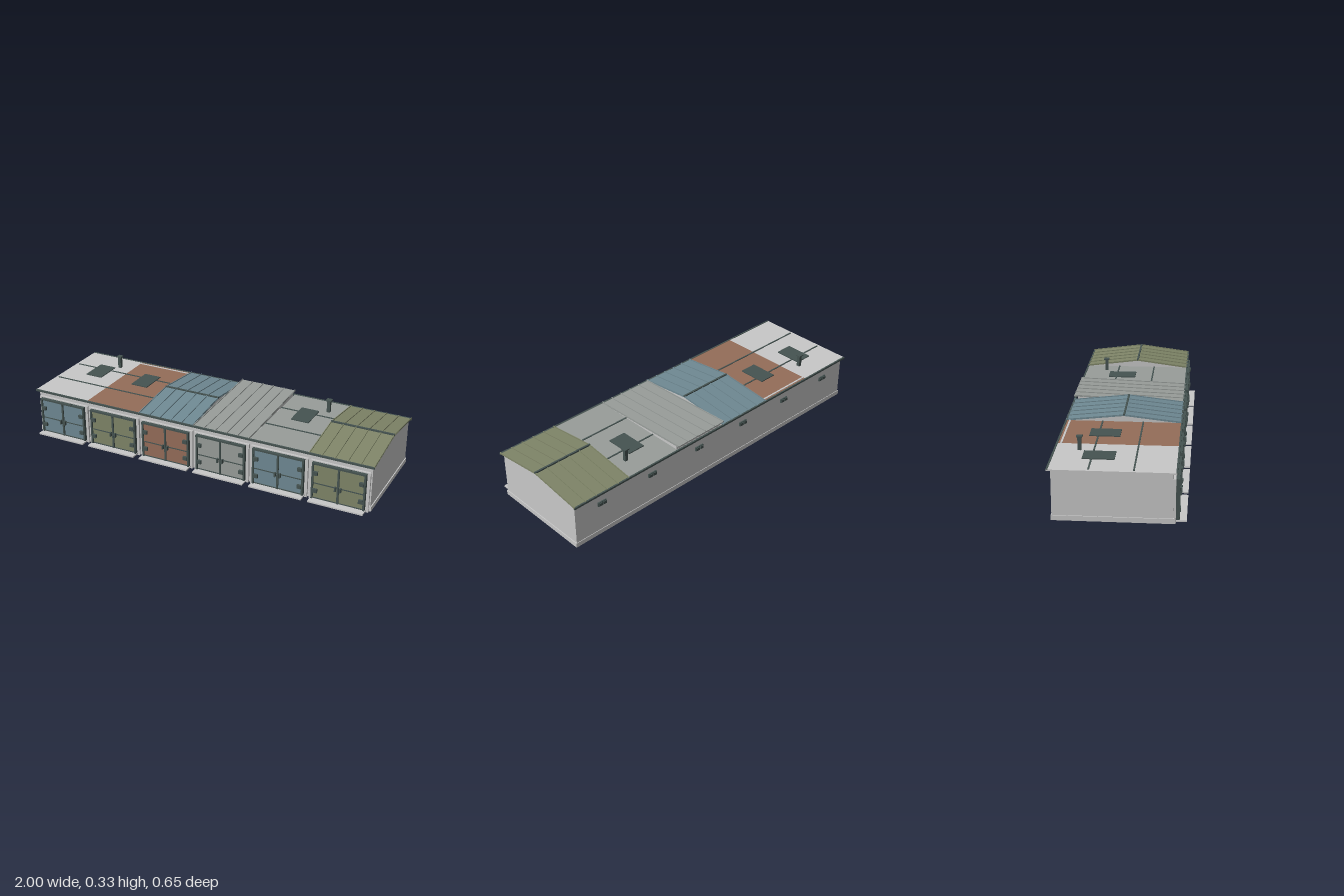
import * as THREE from 'three';

const mat = (name, hex, side = THREE.FrontSide) => {
  const m = new THREE.MeshStandardMaterial({ color: hex, side });
  m.name = name;
  return m;
};

export function createModel() {
  const M = {
    wall: mat('pale render', 0xc8c8c8),
    dark: mat('dark metal', 0x455351),
    blue: mat('blue paint', 0x6f8993),
    olive: mat('olive paint', 0x7f8568),
    terra: mat('terracotta paint', 0x946d59),
    grey: mat('grey paint', 0x989d9a),
  };
  const root = new THREE.Group();
  root.name = 'garageRow';

  // Box given by its limits on each axis
  function box(name, m, x0, x1, y0, y1, z0, z1, parent = root) {
    const mesh = new THREE.Mesh(new THREE.BoxGeometry(x1 - x0, y1 - y0, z1 - z0), m);
    mesh.position.set((x0 + x1) / 2, (y0 + y1) / 2, (z0 + z1) / 2);
    mesh.name = name;
    parent.add(mesh);
    return mesh;
  }

  // Prism along x from a [z, y] outline
  function prism(name, m, pts, x0, x1, parent) {
    const shape = new THREE.Shape(pts.map(([z, y]) => new THREE.Vector2(-z, y)));
    const g = new THREE.ExtrudeGeometry(shape, { depth: x1 - x0, bevelEnabled: false });
    g.rotateY(Math.PI / 2);
    g.translate(x0, 0, 0);
    const mesh = new THREE.Mesh(g, m);
    mesh.name = name;
    parent.add(mesh);
  }

  // Strip that follows a [z, y] roof line with constant vertical thickness
  function strip(name, m, line, y0, y1, x0, x1, parent) {
    const low = line.map(([z, y]) => [z, y + y0]);
    const high = line.map(([z, y]) => [z, y + y1]).reverse();
    prism(name, m, [...low, ...high], x0, x1, parent);
  }

  // Main walls and plinth
  box('walls', M.wall, -0.988, 0.988, 0.005, 0.255, -0.305, 0.262);
  box('plinth', M.wall, -0.993, 0.993, 0.005, 0.03, -0.308, 0.266);

  const FRONT = 0.28, BACK = -0.323, RIDGE = -0.02;

  // Flat roof with two cross seams and an optional hatch
  function flatRoof(x0, x1, m, hatchX) {
    const g = new THREE.Group();
    g.name = 'flatRoof';
    root.add(g);
    box('roofSheet', m, x0, x1, 0.255, 0.262, BACK, FRONT, g);
    for (const z of [-0.13, 0.08]) {
      box('roofSeam', M.dark, Math.max(x0, -0.985), x1, 0.262, 0.265, z - 0.004, z + 0.004, g);
    }
    box('roofHatch', M.dark, hatchX - 0.05, hatchX + 0.05, 0.262, 0.267, -0.175, -0.02, g);
  }

  // Sloping roof on a filled wall, with thin standing seams
  function slopedRoof(name, x0, x1, m, line) {
    const g = new THREE.Group();
    g.name = name;
    root.add(g);
    const inner = line.map(([z, y]) => [z === FRONT ? 0.26 : z === BACK ? -0.304 : z, y - 0.003]);
    prism('gableWall', M.wall, [[0.26, 0.25], ...inner, [-0.304, 0.25]], x0 + 0.006, Math.min(x1 - 0.006, 0.988), g);
    strip('roofSheet', m, line, -0.004, 0, x0, x1, g);
    const n = 5;
    for (let i = 0; i <= n; i++) {
      const x = x0 + 0.003 + (x1 - x0 - 0.006) * i / n;
      strip('standingSeam', m, line, -0.001, 0.005, x - 0.002, x + 0.002, g);
    }
    return g;
  }

  const gable = (top) => [[FRONT, 0.263], [RIDGE, top], [BACK, 0.263]];
  flatRoof(-1, -0.66, M.wall, -0.81);
  flatRoof(-0.66, -0.33, M.terra, -0.505);
  box('wallTop', M.wall, -0.66, -0.33, 0.255, 0.264, -0.306, -0.296);
  const blueRoof = slopedRoof('blueGableRoof', -0.33, 0, M.blue, gable(0.296));
  box('ridgeCap', M.dark, -0.33, 0, 0.292, 0.302, RIDGE - 0.005, RIDGE + 0.005, blueRoof);
  slopedRoof('shedRoof', 0, 0.328, M.grey, [[FRONT, 0.263], [BACK, 0.285]]);
  flatRoof(0.328, 0.656, M.grey, 0.48);
  const oliveRoof = slopedRoof('oliveGableRoof', 0.656, 1, M.olive, gable(0.302));
  box('ridgeCap', M.dark, 0.656, 1, 0.299, 0.309, RIDGE - 0.005, RIDGE + 0.005, oliveRoof);

  // Eaves gutters, front and back
  box('frontGutter', M.dark, -1, 1, 0.254, 0.264, 0.274, 0.283);
  box('backGutter', M.dark, -1, 1, 0.254, 0.264, -0.325, -0.316);

  // Chimneys
  for (const x of [-0.74, 0.575]) {
    const g = new THREE.Group();
    g.name = 'chimney';
    g.position.set(x, 0, -0.2);
    root.add(g);
    box('chimneyPipe', M.dark, -0.009, 0.009, 0.26, 0.33, -0.009, 0.009, g);
    box('chimneyCap', M.dark, -0.015, 0.015, 0.328, 0.334, -0.015, 0.015, g);
  }

  // Six garage bays
  const doors = [M.blue, M.olive, M.terra, M.grey, M.blue, M.olive];
  doors.forEach((paint, i) => {
    const g = new THREE.Group();
    g.name = 'garageBay';
    g.position.x = (i - 2.5) * 0.329;
    root.add(g);

    // Pale surround and apron
    for (const s of [-1, 1]) {
      const x = s * 0.151;
      box('surroundPost', M.wall, x - 0.008, x + 0.008, 0, 0.224, 0.26, 0.274, g);
    }
    box('surroundLintel', M.wall, -0.143, 0.143, 0.215, 0.224, 0.26, 0.274, g);
    box('apron', M.wall, -0.147, 0.147, 0.006, 0.014, 0.262, 0.325, g);

    // Dark door frame
    box('frameHead', M.dark, -0.143, 0.143, 0.21, 0.219, 0.262, 0.292, g);
    for (const s of [-1, 1]) {
      box('frameJamb', M.dark, s * 0.138 - 0.005, s * 0.138 + 0.005, 0.014, 0.212, 0.262, 0.292, g);

      // Leaf with rails, hinges and handle
      const c = s * 0.067;
      box('doorLeaf', paint, c - 0.066, c + 0.066, 0.015, 0.21, 0.262, 0.284, g);
      box('midRail', M.dark, c - 0.064, c + 0.064, 0.1, 0.105, 0.283, 0.287, g);
      box('bottomRail', M.dark, c - 0.064, c + 0.064, 0.015, 0.02, 0.283, 0.287, g);
      for (const y of [0.062, 0.161]) {
        box('hinge', M.dark, s * 0.122 - 0.012, s * 0.122 + 0.012, y - 0.01, y + 0.01, 0.283, 0.297, g);
      }
      box('handle', M.dark, s * 0.014 - 0.004, s * 0.014 + 0.004, 0.086, 0.11, 0.284, 0.298, g);
    }
    box('meetingBar', M.dark, -0.005, 0.005, 0.015, 0.21, 0.282, 0.291, g);
    box('latch', M.dark, 0.055, 0.063, 0.219, 0.227, 0.288, 0.293, g);

    // Rear vent with two louvre blocks
    box('ventPlate', M.dark, -0.026, 0.026, 0.18, 0.202, -0.312, -0.305, g);
    for (const s of [-1, 1]) {
      box('ventLouvre', M.dark, s * 0.013 - 0.01, s * 0.013 + 0.01, 0.183, 0.199, -0.317, -0.311, g);
    }
  });

  return root;
}
